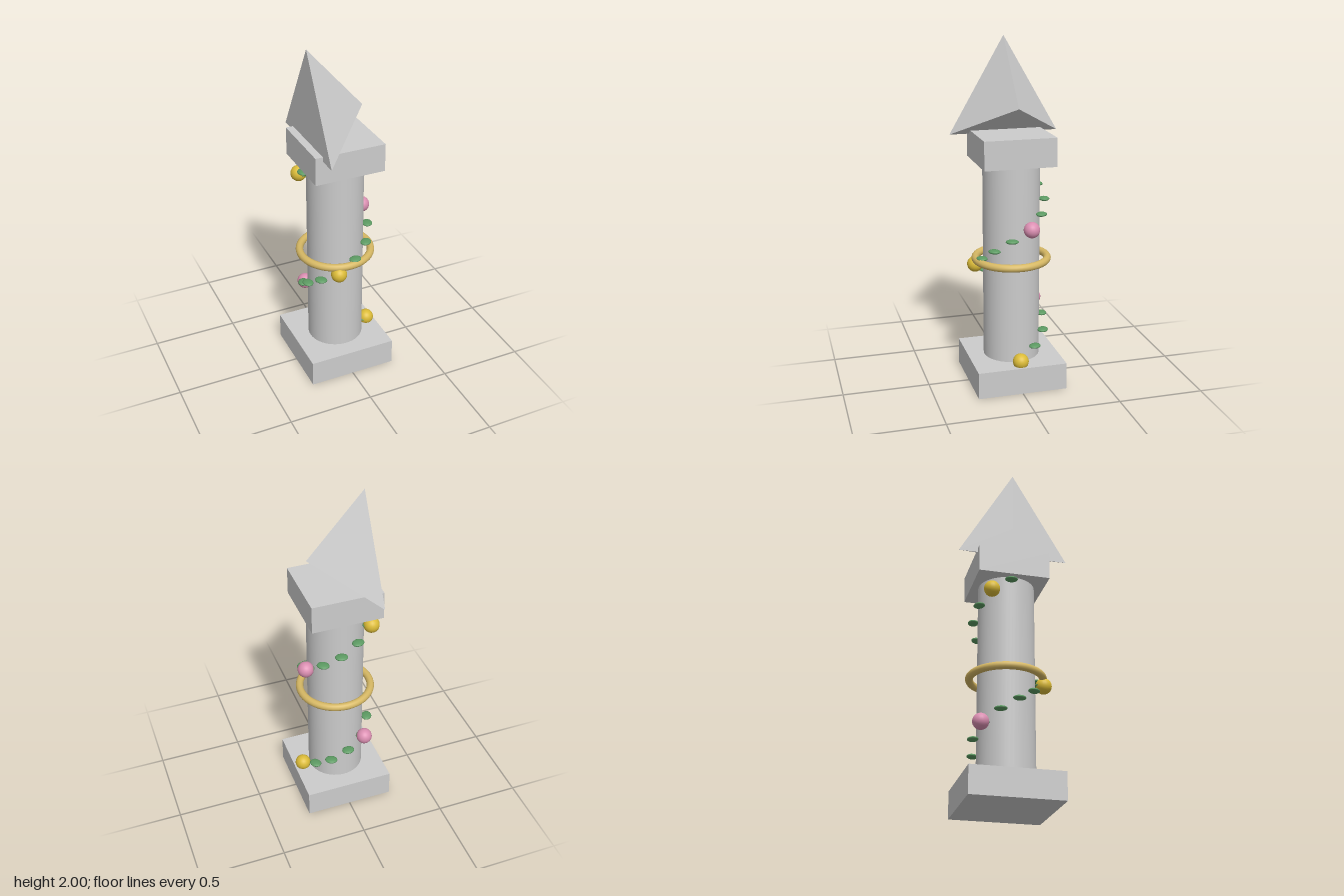
import * as THREE from 'three';

const material = (color, options = {}) => new THREE.MeshStandardMaterial({ color, ...options });

export function createModel() {
  const model = new THREE.Group();
  model.name = 'garlandedColumn';

  const stone = material(0xcccccc);
  const facetedStone = material(0xcccccc, { flatShading: true });
  const brass = material(0xd6b864);
  const green = material(0x5c9a62);
  const yellow = material(0xdcbc38);
  const pink = material(0xdb8fb2);

  const add = (name, geometry, mat, x, y, z, parent = model) => {
    const mesh = new THREE.Mesh(geometry, mat);
    mesh.name = name;
    mesh.position.set(x, y, z);
    parent.add(mesh);
    return mesh;
  };

  // Column: square plinth, round shaft, square capital
  add('plinth', new THREE.BoxGeometry(0.522, 0.157, 0.522), stone, 0, 0.0785, 0);
  add('shaft', new THREE.CylinderGeometry(0.163, 0.163, 1.155, 48), stone, 0, 0.7345, 0);
  add('capital', new THREE.BoxGeometry(0.412, 0.163, 0.412), stone, 0, 1.3935, 0);

  // Three-sided pyramid lying on its side, its tip towards +x
  const pyramid = new THREE.ConeGeometry(0.367, 0.326, 3, 1, false, -Math.PI / 2);
  pyramid.rotateZ(-Math.PI / 2);
  add('pyramid', pyramid, facetedStone, 0, 1.633, 0);

  // Ring floating around the shaft
  const ring = new THREE.TorusGeometry(0.208, 0.022, 14, 48);
  ring.rotateX(Math.PI / 2);
  add('ring', ring, brass, 0, 0.745, 0);

  // Spiral garland: a leaf at every step, a flower at every fourth
  const garland = new THREE.Group();
  garland.name = 'garland';
  model.add(garland);
  const leafGeometry = new THREE.SphereGeometry(1, 16, 10);
  leafGeometry.scale(0.031, 0.012, 0.037);
  const flowerGeometry = new THREE.SphereGeometry(0.046, 24, 16);
  for (let i = 0; i <= 17; i++) {
    const angle = THREE.MathUtils.degToRad(-31.5 * i);
    const y = 0.18 + 0.065 * i;
    const c = Math.cos(angle), s = Math.sin(angle);
    add('leaf', leafGeometry, green, 0.189 * c, y, 0.189 * s, garland).rotation.y = -angle;
    if (i % 4 === 0) {
      add('flower', flowerGeometry, i % 8 ? pink : yellow, 0.21 * c, y, 0.21 * s, garland);
    }
  }

  return model;
}
